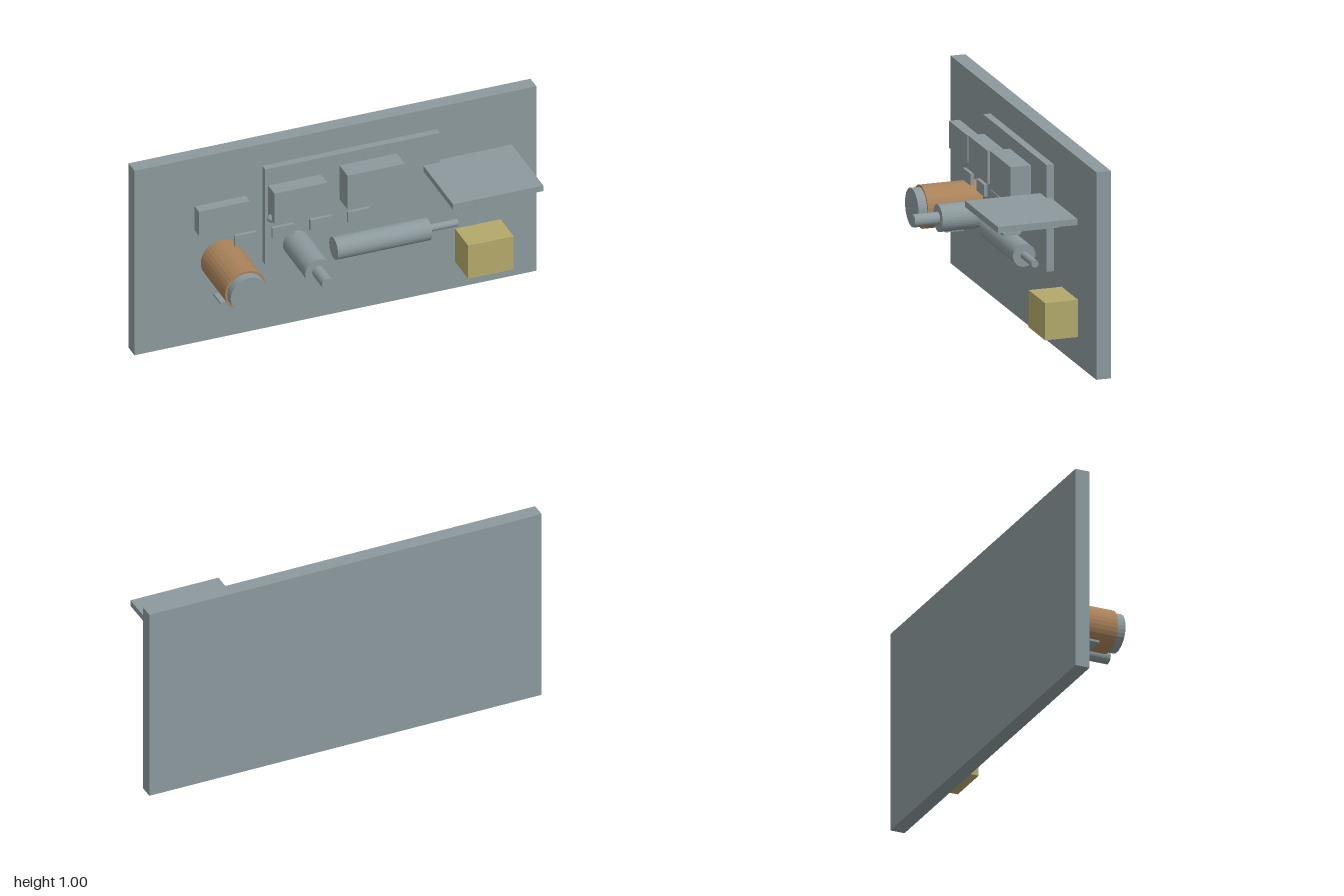
import * as THREE from 'three';

export function createModel() {
  const model = new THREE.Group();
  model.name = 'wallDisplay';

  const material = (name, color) => {
    const m = new THREE.MeshStandardMaterial({ color });
    m.name = name;
    return m;
  };
  const grey = material('blueGrey', 0x8c999d);
  const copper = material('copperBrown', 0xa9825a);
  const yellow = material('dullYellow', 0xb3a96b);

  const add = (name, geometry, mat, x, y, z) => {
    const mesh = new THREE.Mesh(geometry, mat);
    mesh.name = name;
    mesh.position.set(x, y, z);
    model.add(mesh);
    return mesh;
  };

  // Box given by its lower and upper limits on each axis
  const box = (name, [x0, x1], [y0, y1], [z0, z1], mat = grey) =>
    add(name, new THREE.BoxGeometry(x1 - x0, y1 - y0, z1 - z0), mat,
      (x0 + x1) / 2, (y0 + y1) / 2, (z0 + z1) / 2);

  const faceted = (geometry) => {
    const g = geometry.toNonIndexed();
    g.computeVertexNormals();
    return g;
  };

  // Cylinder pointing out of the wall, from z0 to z1
  const cylinderZ = (name, r, x, y, z0, z1, mat = grey) => {
    const g = new THREE.CylinderGeometry(r, r, z1 - z0, 32).rotateX(Math.PI / 2);
    return add(name, faceted(g), mat, x, y, (z0 + z1) / 2);
  };

  // Cylinder lying along the wall, from x0 to x1
  const cylinderX = (name, r, x0, x1, y, z) => {
    const g = new THREE.CylinderGeometry(r, r, x1 - x0, 32).rotateZ(-Math.PI / 2);
    return add(name, faceted(g), grey, (x0 + x1) / 2, y, z);
  };

  // Wall and mounting panel
  box('wall', [-1, 1], [0, 1], [-0.267, -0.195]);
  box('backPanel', [-0.375, 0.495], [0.385, 0.9], [-0.167, -0.131]);

  // Boxes along the top
  box('leftBox', [-0.722, -0.468], [0.645, 0.775], [-0.14, -0.088]);
  box('middleBox', [-0.36, -0.097], [0.648, 0.81], [-0.131, -0.053]);
  box('rightBox', [-0.005, 0.28], [0.655, 0.838], [-0.131, -0.032]);

  // Rounded feet under the two larger boxes
  for (const x of [-0.345, -0.145, 0.062, 0.263]) {
    const g = new THREE.SphereGeometry(1, 20, 14).scale(0.035, 0.023, 0.018);
    add('foot', g, grey, x, 0.652, -0.098);
  }

  // Row of small plates
  for (const x of [-0.487, -0.3, -0.112, 0.075]) {
    box('smallPlate', [x - 0.054, x + 0.054], [0.543, 0.6], [-0.106, -0.09]);
  }

  // Large drum with a grey end cap and a strip below
  cylinderZ('drum', 0.103, -0.567, 0.424, -0.195, 0.107, copper);
  cylinderZ('drumCap', 0.093, -0.567, 0.424, 0.107, 0.15);
  box('drumStrip', [-0.656, -0.476], [0.316, 0.327], [-0.07, 0.017]);

  // Outward cylinder with its rod
  cylinderZ('outwardCylinder', 0.065, -0.222, 0.47, -0.195, 0.145);
  cylinderZ('outwardRod', 0.03, -0.222, 0.47, 0.145, 0.267);

  // Sideways cylinder with its rod
  cylinderX('sidewaysCylinder', 0.055, -0.065, 0.403, 0.446, -0.055);
  cylinderX('sidewaysRod', 0.018, 0.403, 0.55, 0.446, -0.055);

  // Shelf with thin plates beneath it
  box('shelf', [0.412, 0.861], [0.711, 0.741], [-0.152, 0.238]);
  box('shelfUnderside', [0.455, 0.835], [0.7, 0.711], [-0.07, 0.185]);
  box('frontUnderPlate', [0.475, 0.8], [0.674, 0.686], [0.102, 0.188]);
  box('rearUnderPlate', [0.526, 0.75], [0.678, 0.689], [-0.096, -0.014]);

  // Yellow block
  box('yellowBlock', [0.587, 0.813], [0.156, 0.335], [-0.173, -0.011], yellow);

  return model;
}
